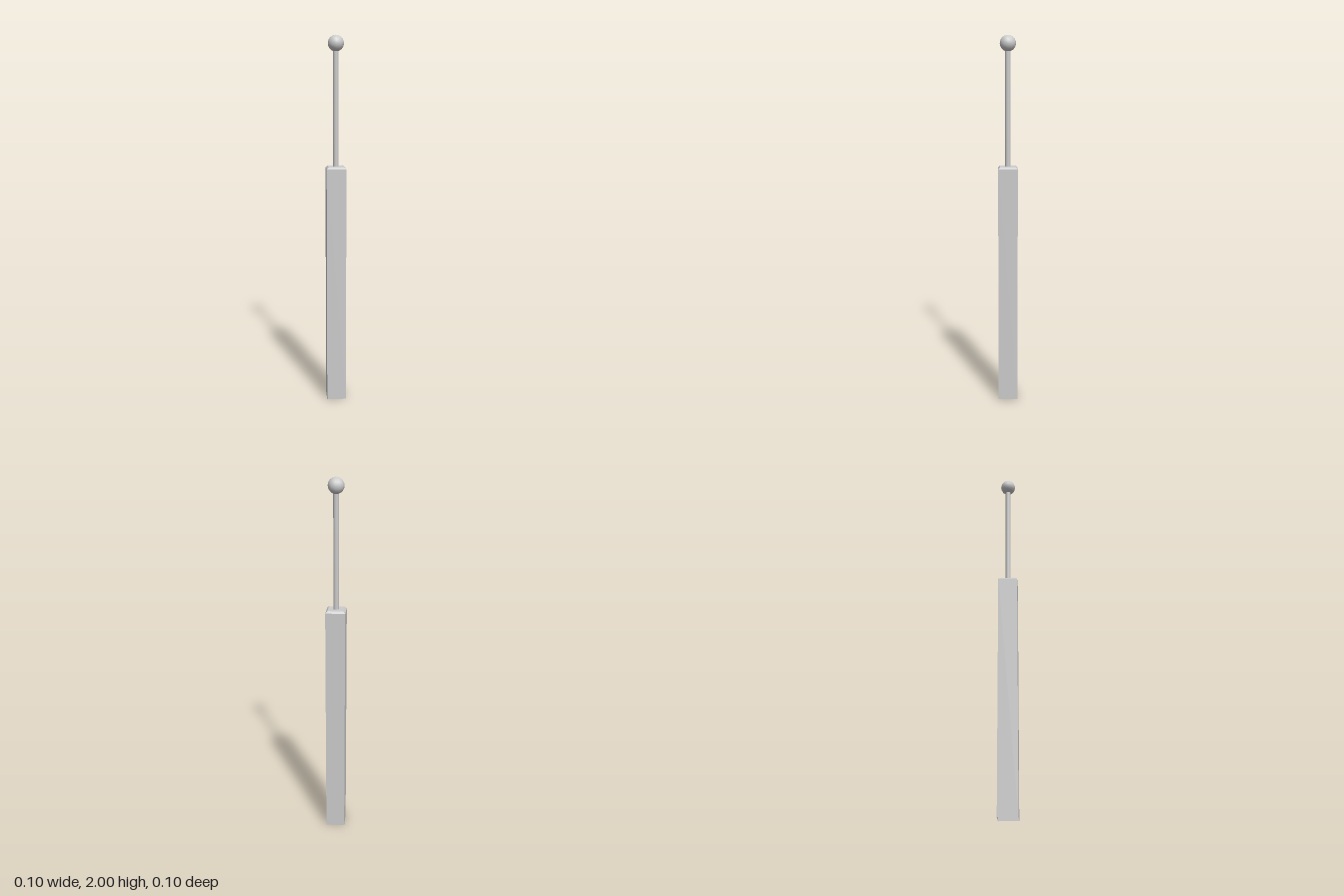
import * as THREE from 'three';

export function createModel() {
  const model = new THREE.Group();
  const flat = new THREE.MeshStandardMaterial({ color: 0xcccccc, flatShading: true, side: THREE.DoubleSide });
  const smooth = new THREE.MeshStandardMaterial({ color: 0xcccccc });

  const add = (name, geometry, material, y = 0) => {
    const mesh = new THREE.Mesh(geometry, material);
    mesh.name = name;
    mesh.position.y = y;
    model.add(mesh);
  };

  // Square post with a bevelled top, open underneath: half-widths and heights
  const profile = [[0.0525, 0], [0.0525, 1.308], [0.042, 1.318], [0, 1.318]]
    .map(([half, y]) => new THREE.Vector2(half * Math.SQRT2, y));
  add('post', new THREE.LatheGeometry(profile, 4, Math.PI / 4), flat);

  // Thin rod rising from the post into the ball
  const rodBottom = 1.318, rodTop = 1.935;
  add('rod', new THREE.CylinderGeometry(0.0145, 0.0145, rodTop - rodBottom, 12, 1, true),
    smooth, (rodBottom + rodTop) / 2);

  // Ball at the tip
  add('ball', new THREE.SphereGeometry(0.042, 12, 12), smooth, 1.958);

  return model;
}
